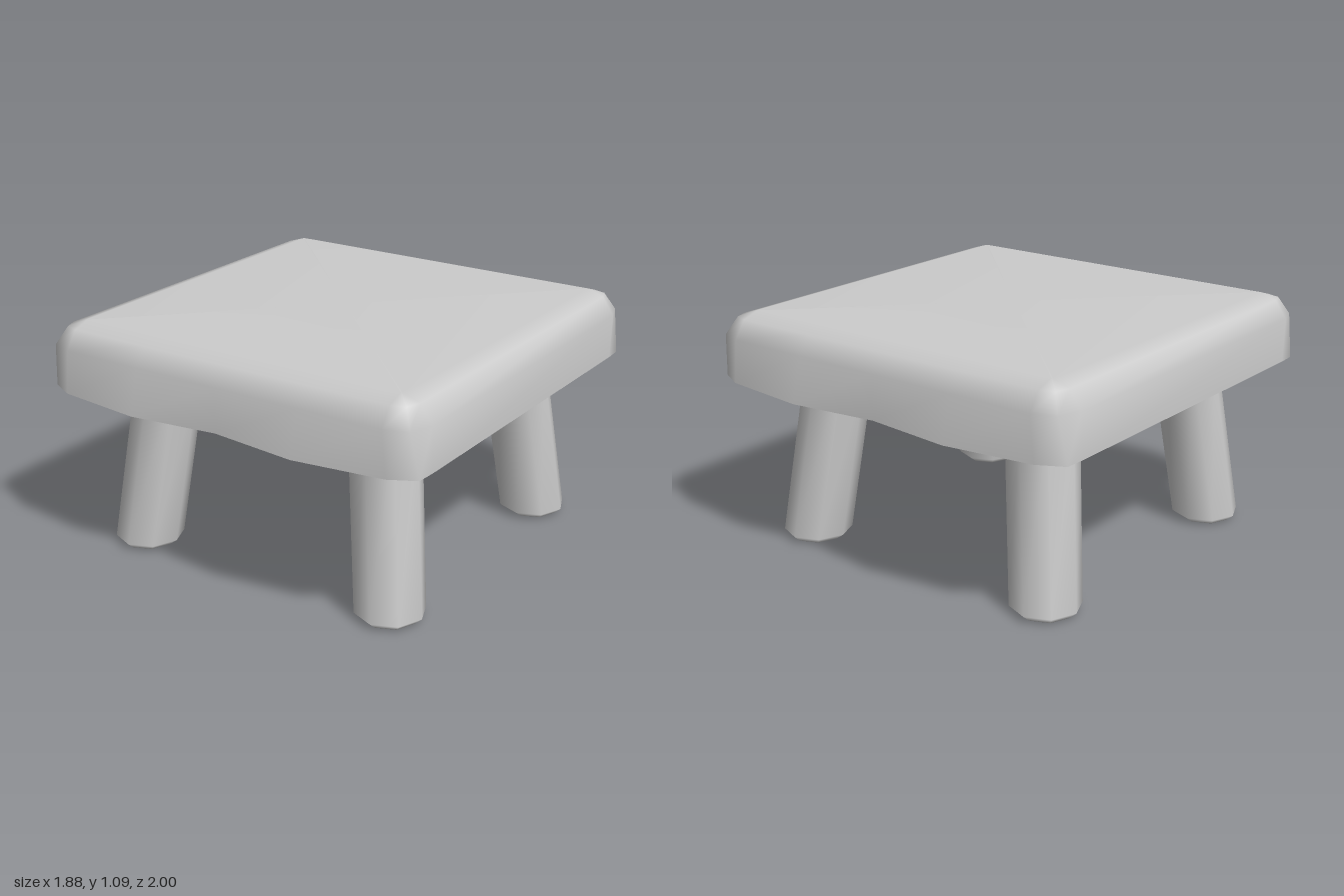
import * as THREE from 'three';

const material = new THREE.MeshStandardMaterial({ color: 0xcccccc });

// Skins a stack of equal-length rings, bottom to top, with smooth normals.
// A creased bottom gets its own vertices so its edge stays sharp.
function loft(rings, { capTop = false, creaseBottom = false } = {}) {
  const n = rings[0].length;
  const points = rings.flat();
  const index = [];
  for (let i = 0; i < rings.length - 1; i++) {
    for (let j = 0; j < n; j++) {
      const a = i * n + j, b = i * n + (j + 1) % n;
      index.push(a, a + n, b, b, a + n, b + n);
    }
  }
  const cap = (start, ring, up) => {
    const centre = ring.reduce((s, p) => s.add(p), new THREE.Vector3()).divideScalar(n);
    const c = points.push(centre) - 1;
    for (let j = 0; j < n; j++) {
      const a = start + j, b = start + (j + 1) % n;
      index.push(c, up ? b : a, up ? a : b);
    }
  };
  if (capTop) cap((rings.length - 1) * n, rings[rings.length - 1], true);
  let bottomStart = 0;
  if (creaseBottom) {
    bottomStart = points.length;
    points.push(...rings[0]);
  }
  cap(bottomStart, rings[0], false);
  const geometry = new THREE.BufferGeometry().setFromPoints(points);
  geometry.setIndex(index);
  geometry.computeVertexNormals();
  return geometry;
}

// Mirrors one quadrant (from the side to the middle of the front) into a full ring
function mirrorRing(quadrant, middleZ, y) {
  const reversed = [...quadrant].reverse();
  const at = (list, sx, sz) => list.map(([x, z]) => new THREE.Vector3(sx * x, y, sz * z));
  return [
    ...at(quadrant, 1, 1), new THREE.Vector3(0, y, middleZ), ...at(reversed, -1, 1),
    ...at(quadrant, -1, -1), new THREE.Vector3(0, y, -middleZ), ...at(reversed, 1, -1),
  ];
}

// Rounded rectangle whose corners have radius r
function seatRing(r, y) {
  const cx = 0.8, cz = 0.81, d = r * 0.74;
  return mirrorRing([[cx + r, cz], [cx + d, cz + d], [cx, cz + r], [0.41, cz + r]], cz + r, y);
}

function createSeat() {
  // The lower edge swells into two shallow waves at front and back
  const lowerEdge = mirrorRing([[0.94, 0.8], [0.935, 0.89], [0.82, 0.95], [0.41, 1]], 0.95, 0.78);
  const rings = [lowerEdge, seatRing(0.14, 0.98), seatRing(0.085, 1.06), seatRing(0.005, 1.085)];
  const seat = new THREE.Mesh(loft(rings, { capTop: true, creaseBottom: true }), material);
  seat.name = 'seat';
  return seat;
}

// Eight-sided leg, splayed outward, with a bevelled foot
function createLeg(sx, sz) {
  const ring = (r, y) => Array.from({ length: 8 }, (_, j) => {
    const a = j * Math.PI / 4;
    const lean = 0.09 * (1 - y / 0.78);
    return new THREE.Vector3(
      sx * (0.57 + lean) + r * Math.cos(a), y, sz * (0.555 + lean) + r * Math.sin(a));
  });
  const leg = new THREE.Mesh(loft([ring(0.118, 0), ring(0.156, 0.03), ring(0.156, 0.79)]), material);
  leg.name = `${sz > 0 ? 'front' : 'back'}${sx > 0 ? 'Left' : 'Right'}Leg`;
  return leg;
}

export function createModel() {
  const model = new THREE.Group();
  model.name = 'stool';
  model.add(createSeat());
  for (const sx of [1, -1]) for (const sz of [1, -1]) model.add(createLeg(sx, sz));
  return model;
}
